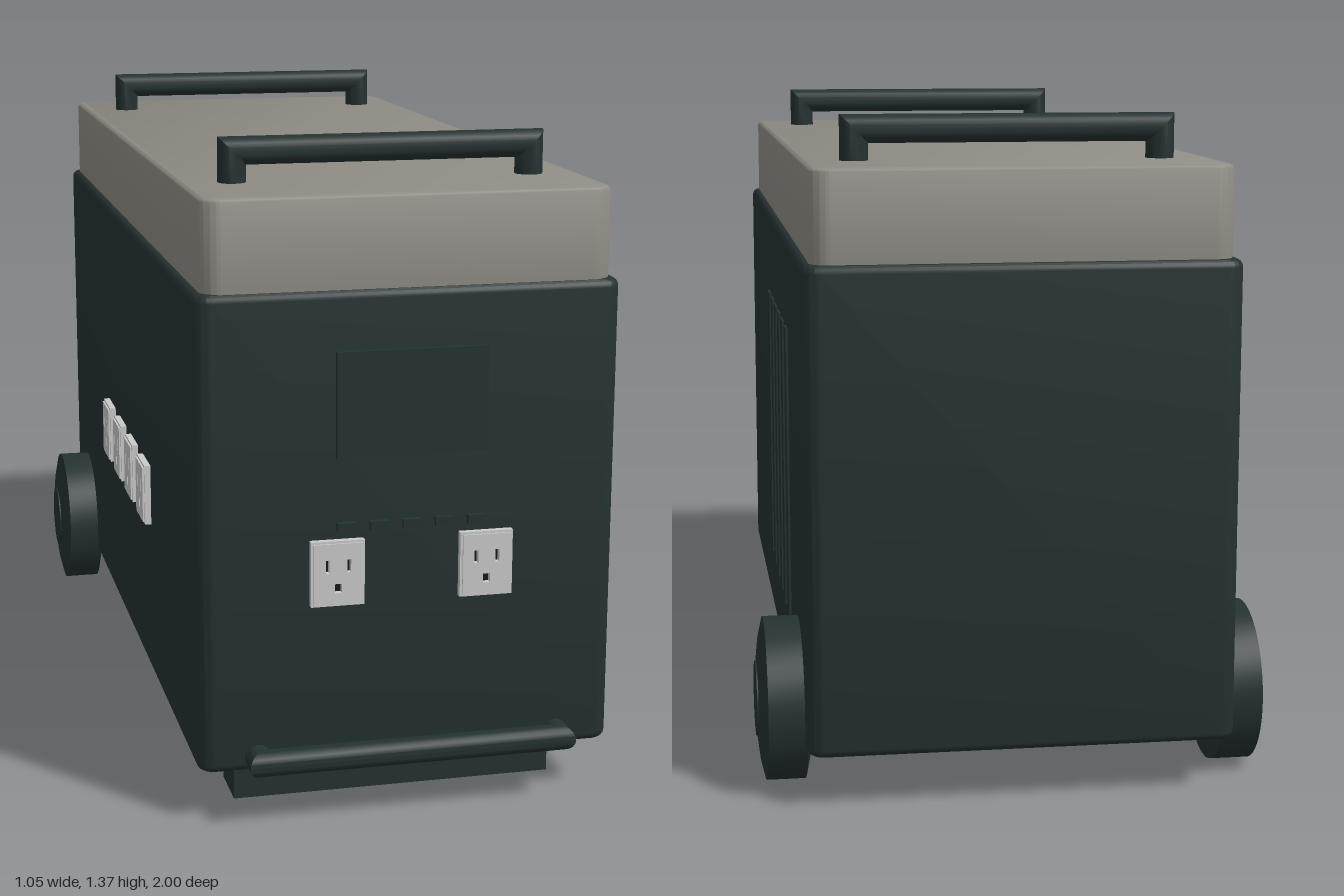
import * as THREE from 'three';
import { toCreasedNormals } from 'three/addons/utils/BufferGeometryUtils.js';

const shell = new THREE.MeshStandardMaterial({ name: 'dark shell', color: 0x253132 });
const lidGrey = new THREE.MeshStandardMaterial({ name: 'warm grey lid', color: 0x8f8c84 });
const white = new THREE.MeshStandardMaterial({ name: 'outlet white', color: 0xcacaca });
const black = new THREE.MeshStandardMaterial({ name: 'slot black', color: 0x15191a });

function add(parent, name, geometry, material, x = 0, y = 0, z = 0) {
  const mesh = new THREE.Mesh(geometry, material);
  mesh.name = name;
  mesh.position.set(x, y, z);
  parent.add(mesh);
  return mesh;
}

// Block with rounded vertical corners and softened top and bottom edges, standing on y = 0
function softBlock(w, h, d, corner, bevel) {
  const x = w / 2 - bevel, y = d / 2 - bevel, r = corner - bevel;
  const s = new THREE.Shape();
  s.absarc(x - r, y - r, r, 0, Math.PI / 2);
  s.absarc(-x + r, y - r, r, Math.PI / 2, Math.PI);
  s.absarc(-x + r, -y + r, r, Math.PI, Math.PI * 1.5);
  s.absarc(x - r, -y + r, r, Math.PI * 1.5, Math.PI * 2);
  const g = new THREE.ExtrudeGeometry(s, {
    depth: h - 2 * bevel, bevelThickness: bevel, bevelSize: bevel, bevelSegments: 4, curveSegments: 8,
  });
  g.translate(0, 0, bevel).rotateX(-Math.PI / 2);
  return toCreasedNormals(g, 0.6);
}

// Round bar with two legs and mitred corners, rising from y = 0
function handleGeometry(halfWidth, height, r) {
  const n = 20, pos = [], index = [];
  const cx = halfWidth - r, cy = height - r;
  const stations = [[-1, 0], [-1, 1], [1, 1], [1, 0]];
  for (const [side, top] of stations) {
    for (let j = 0; j <= n; j++) {
      const a = (j / n) * Math.PI * 2, c = r * Math.cos(a);
      pos.push(side * (cx + c), top * (cy + c), r * Math.sin(a));
    }
  }
  for (let i = 0; i < 3; i++) {
    for (let j = 0; j < n; j++) {
      const a = i * (n + 1) + j, b = a + n + 1;
      index.push(a, a + 1, b, a + 1, b + 1, b);
    }
  }
  const g = new THREE.BufferGeometry();
  g.setAttribute('position', new THREE.Float32BufferAttribute(pos, 3));
  g.setIndex(index);
  return toCreasedNormals(g, 0.6);
}

function rectPath(Type, x, y, w, h) {
  return new Type([
    new THREE.Vector2(x - w / 2, y - h / 2), new THREE.Vector2(x + w / 2, y - h / 2),
    new THREE.Vector2(x + w / 2, y + h / 2), new THREE.Vector2(x - w / 2, y + h / 2),
  ]);
}

// Outlet facing +z: stepped plate with two blade slots and a ground hole
function outlet() {
  const g = new THREE.Group();
  g.name = 'outlet';
  const plate = (w, h, depth) => {
    const s = rectPath(THREE.Shape, 0, 0, w, h);
    for (const x of [-0.022, 0.022]) s.holes.push(rectPath(THREE.Path, x, 0.016, 0.008, 0.027));
    s.holes.push(rectPath(THREE.Path, 0, -0.03, 0.015, 0.019));
    return new THREE.ExtrudeGeometry(s, { depth, bevelEnabled: false });
  };
  add(g, 'outletPlate', plate(0.11, 0.135, 0.014), white);
  add(g, 'outletFace', plate(0.1, 0.125, 0.018), white);
  add(g, 'outletSlots', new THREE.BoxGeometry(0.07, 0.09, 0.004), black, 0, -0.005, 0.003);
  return g;
}

export function createModel() {
  const model = new THREE.Group();
  model.name = 'portablePowerUnit';

  // Case and lid
  add(model, 'body', softBlock(0.87, 0.98, 1.94, 0.035, 0.016), shell, 0, 0.11, -0.03);
  add(model, 'lid', softBlock(0.838, 0.235, 1.912, 0.04, 0.012), lidGrey, 0, 1.04, -0.028);

  // Lid handles and the front pull bar
  for (const z of [0.695, -0.76]) {
    add(model, 'lidHandle', handleGeometry(0.342, 0.105, 0.029), shell, 0, 1.262, z);
  }
  const pull = add(model, 'pullBar', handleGeometry(0.342, 0.08, 0.027), shell, 0, 0.139, 0.92);
  pull.rotation.x = Math.PI / 2;

  // Front foot
  add(model, 'foot', new THREE.BoxGeometry(0.684, 0.12, 0.12), shell, 0, 0.06, 0.76);

  // Wheels with domed sides and a hub disc
  const profile = [[0, -0.055], [0.08, -0.055], [0.13, -0.049], [0.168, -0.04],
    [0.168, 0.04], [0.13, 0.049], [0.08, 0.055], [0, 0.055]].map(([x, y]) => new THREE.Vector2(x, y));
  const tyre = toCreasedNormals(new THREE.LatheGeometry(profile, 48), 0.6);
  for (const side of [-1, 1]) {
    const wheel = new THREE.Group();
    wheel.name = side > 0 ? 'leftWheel' : 'rightWheel';
    wheel.position.set(side * 0.468, 0.168, -0.765);
    wheel.rotation.z = -side * Math.PI / 2;
    add(wheel, 'tyre', tyre, shell);
    add(wheel, 'hub', new THREE.CylinderGeometry(0.077, 0.077, 0.01, 40), shell, 0, 0.053, 0);
    model.add(wheel);
  }

  // Front panel: screen, buttons, two outlets
  add(model, 'screen', new THREE.BoxGeometry(0.308, 0.215, 0.025), shell, -0.001, 0.863, 0.94);
  for (let i = -2; i <= 2; i++) {
    add(model, 'button', new THREE.BoxGeometry(0.037, 0.018, 0.025), shell, i * 0.0675, 0.614, 0.94);
  }
  for (const x of [-0.155, 0.153]) {
    const o = outlet();
    o.position.set(x, 0.523, 0.947);
    model.add(o);
  }

  // Right side outlets
  for (let i = 0; i < 4; i++) {
    const o = outlet();
    o.position.set(-0.437, 0.536, -0.24 + i * 0.183);
    o.rotation.y = -Math.PI / 2;
    model.add(o);
  }

  // Left side vent slats
  for (let i = 0; i < 6; i++) {
    add(model, 'ventSlat', new THREE.BoxGeometry(0.02, 0.635, 0.063), shell, 0.43, 0.588, -0.51 + i * 0.122);
  }
  return model;
}
